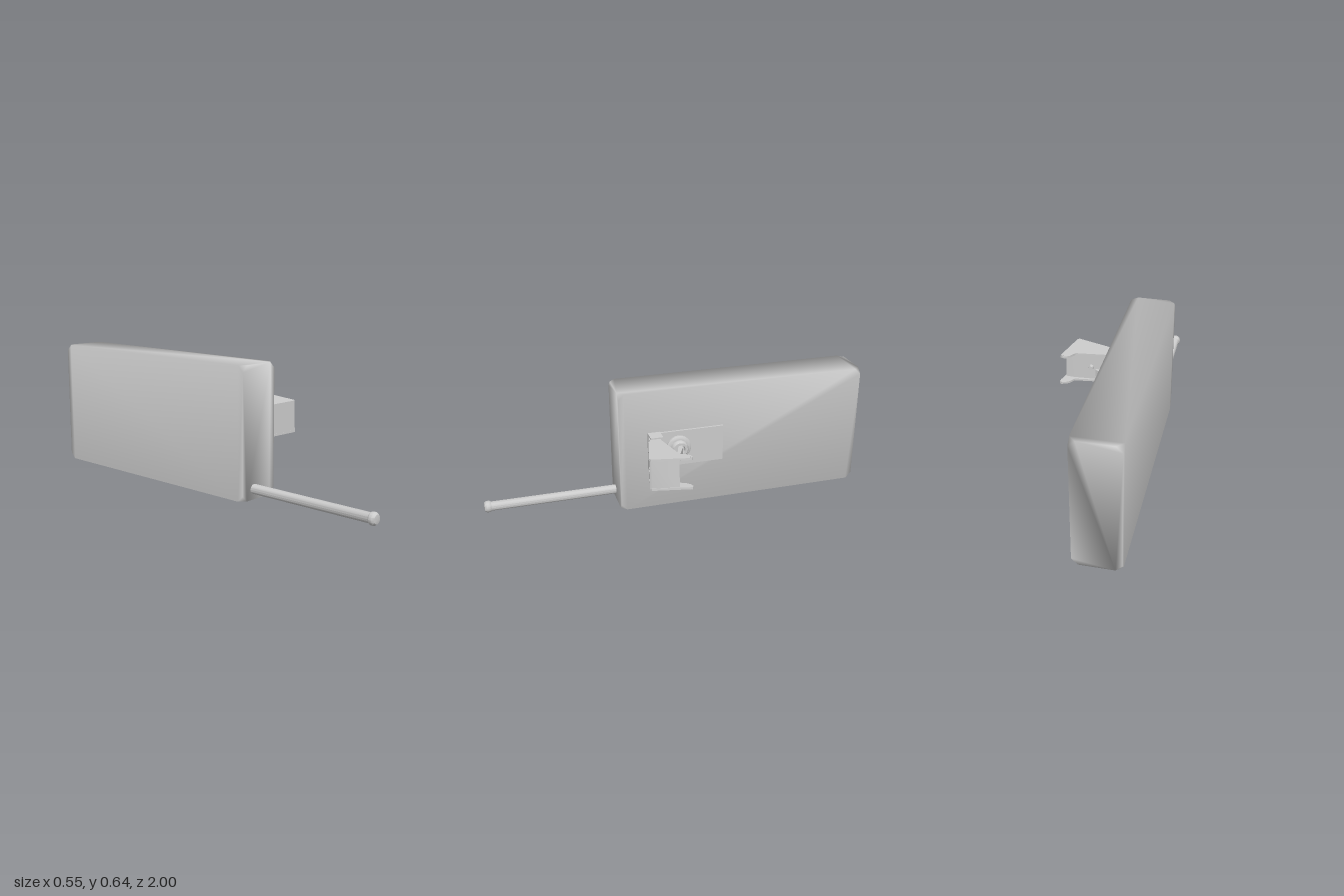
import * as THREE from 'three';
import { ConvexGeometry } from 'three/addons/geometries/ConvexGeometry.js';
import { mergeVertices, toCreasedNormals } from 'three/addons/utils/BufferGeometryUtils.js';

const material = new THREE.MeshStandardMaterial({ color: 0xcccccc, side: THREE.DoubleSide });

function add(parent, name, geometry, x = 0, y = 0, z = 0) {
  const mesh = new THREE.Mesh(geometry, material);
  mesh.name = name;
  mesh.position.set(x, y, z);
  parent.add(mesh);
  return mesh;
}

// Box given by its lower and upper corners
function addBox(parent, name, [x0, y0, z0], [x1, y1, z1]) {
  return add(parent, name, new THREE.BoxGeometry(x1 - x0, y1 - y0, z1 - z0),
    (x0 + x1) / 2, (y0 + y1) / 2, (z0 + z1) / 2);
}

// Box with its eight corners cut off, smoothly shaded
function cutCornerBox(w, h, d, cut) {
  const points = [];
  for (const sx of [-1, 1]) for (const sy of [-1, 1]) for (const sz of [-1, 1]) {
    for (let axis = 0; axis < 3; axis++) {
      const p = new THREE.Vector3(sx * w / 2, sy * h / 2, sz * d / 2);
      p.setComponent(axis, p.getComponent(axis) - [sx, sy, sz][axis] * cut);
      points.push(p);
    }
  }
  let geometry = new ConvexGeometry(points);
  geometry.deleteAttribute('normal');
  geometry = mergeVertices(geometry);
  geometry.computeVertexNormals();
  return geometry;
}

// Plan outline of [x, z] points raised from y0 to y1
function plan(points, y0, y1) {
  const shape = new THREE.Shape(points.map(([x, z]) => new THREE.Vector2(x, -z)));
  const geometry = new THREE.ExtrudeGeometry(shape, { depth: y1 - y0, bevelEnabled: false });
  geometry.rotateX(-Math.PI / 2).translate(0, y0, 0);
  return toCreasedNormals(geometry, 0.6);
}

function lathe(points, sides) {
  const geometry = new THREE.LatheGeometry(points.map(([r, y]) => new THREE.Vector2(r, y)), sides);
  return toCreasedNormals(geometry, 0.7);
}

export function createModel() {
  const model = new THREE.Group();
  model.name = 'model';

  // Main housing
  add(model, 'housing', cutCornerBox(0.224, 0.645, 1.31, 0.03), -0.165, 0.3225, -0.345);

  // Long rod with a rounded knob
  const rod = lathe([[0, 0.28], [0.024, 0.28], [0.024, 0.962], [0.03, 0.97],
    [0.03, 0.985], [0.022, 0.996], [0, 1]], 16);
  rod.rotateX(Math.PI / 2);
  add(model, 'rod', rod, -0.197, 0.052, 0);

  // Mounting plate and hinge bracket
  addBox(model, 'plate', [-0.054, 0.228, -0.235], [-0.042, 0.42, 0.165]);
  const bracket = new THREE.Group();
  bracket.name = 'bracket';
  model.add(bracket);
  addBox(bracket, 'bracketBack', [-0.053, 0.226, 0.1], [-0.037, 0.422, 0.165]);
  for (const y of [0.224, 0.416]) {
    addBox(bracket, 'bracketFlange', [-0.053, y, 0.1], [0.014, y + 0.007, 0.165]);
  }

  // Round collar and lever
  const collar = lathe([[0.065, 0], [0.065, 0.01], [0.055, 0.017], [0.045, 0.017],
    [0.045, 0.03], [0.038, 0.04], [0.025, 0.04], [0.022, 0.025], [0, 0.025]], 24);
  collar.rotateZ(-Math.PI / 2);
  add(model, 'collar', collar, -0.043, 0.33, 0.005);
  add(model, 'lever', plan([[-0.02, -0.01], [0.01, -0.002], [0.083, 0.034],
    [0.078, 0.046], [0.03, 0.03], [-0.02, 0.012]], 0.312, 0.348));

  // Swivelling head, tilted slightly upward
  const head = new THREE.Group();
  head.name = 'head';
  head.position.set(-0.036, 0.3175, 0);
  head.rotation.z = 0.053;
  model.add(head);
  const half = 0.0825, dx = 0.036;
  const shifted = (points) => points.map(([x, z]) => [x + dx, z]);

  // Neck and tapered body
  add(head, 'neck', plan(shifted([[-0.036, 0.105], [0.012, 0.108], [0.012, 0.168],
    [-0.036, 0.162]]), -half, half));
  add(head, 'body', plan(shifted([[0.008, 0.112], [0.205, 0.085], [0.25, 0.085],
    [0.224, 0.215], [0.215, 0.224], [0.205, 0.222], [0.008, 0.175]]), -half + 0.002, half - 0.002));

  // Side cheeks with hooked tips
  const cheek = shifted([[0.008, 0.108], [0.2, 0.07], [0.22, 0.036], [0.237, 0.023],
    [0.255, 0.018], [0.267, 0.024], [0.266, 0.04], [0.226, 0.218], [0.216, 0.225], [0.008, 0.176]]);
  for (const side of [-1, 1]) {
    const inner = side * (half - 0.011), outer = side * half;
    add(head, 'cheek', plan(cheek, Math.min(inner, outer), Math.max(inner, outer)));
    add(head, 'tip', new THREE.CylinderGeometry(0.007, 0.007, 0.014, 10),
      0.258 + dx, side * (half - 0.003), 0.027);
  }

  // Small button on the rear of the head
  const button = add(head, 'button', new THREE.CylinderGeometry(0.01, 0.014, 0.02, 12), 0.12 + dx, 0, 0.09);
  button.rotation.x = -Math.PI / 2;

  return model;
}
